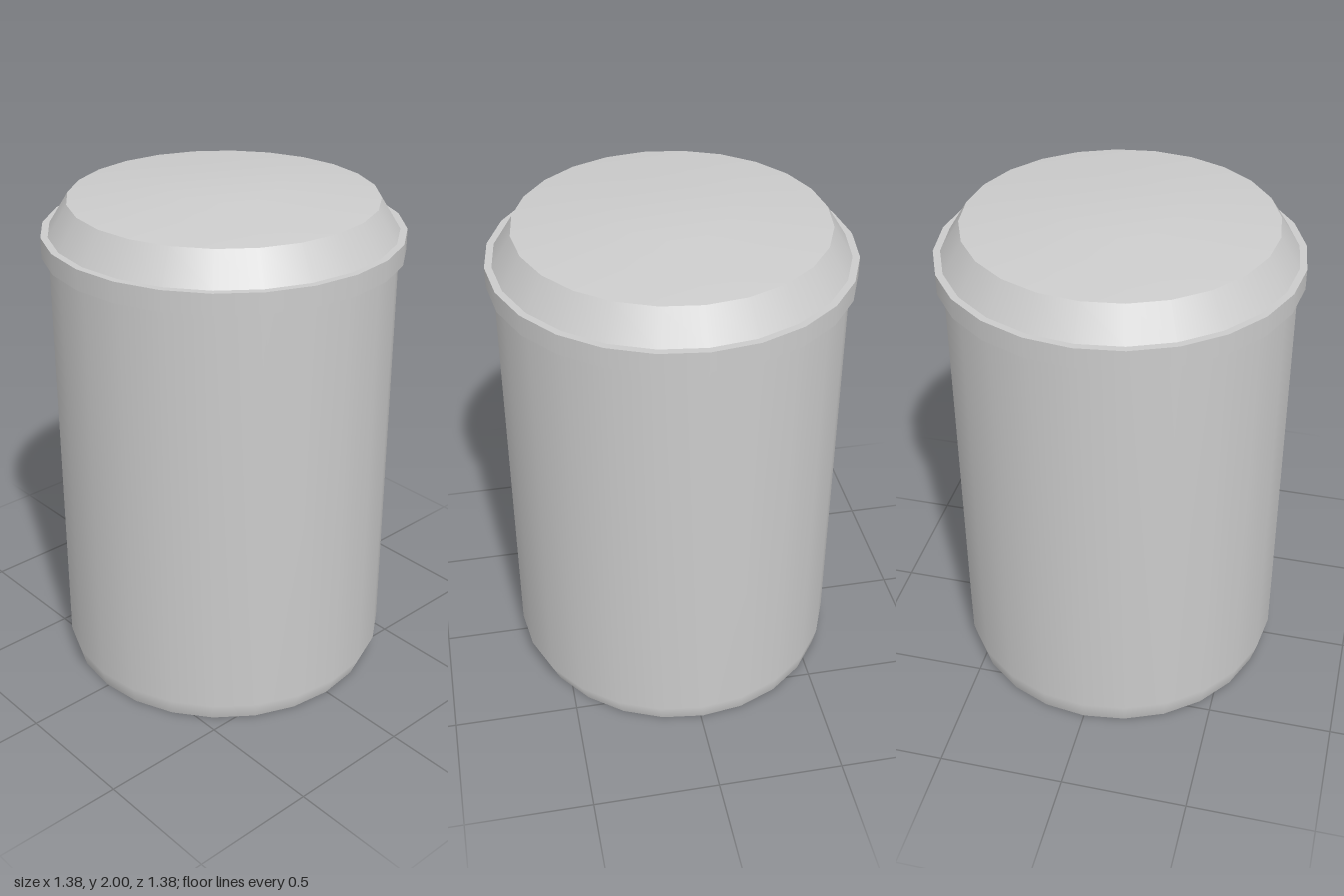
import * as THREE from 'three';

const SIDES = 24;
const material = new THREE.MeshStandardMaterial({ color: 0xcccccc });

// Smooth revolved surface; separate surfaces meet in sharp edges.
function revolve(name, profile) {
  const points = profile.map(([r, y]) => new THREE.Vector2(r, y));
  const mesh = new THREE.Mesh(new THREE.LatheGeometry(points, SIDES), material);
  mesh.name = name;
  return mesh;
}

// The foot ring of the canister sits slightly off-centre.
function shiftFoot(mesh) {
  const p = mesh.geometry.attributes.position;
  for (let i = 0; i < p.count; i++) {
    if (p.getY(i) < 0.01) p.setX(i, p.getX(i) - 0.01);
  }
  return mesh;
}

export function createModel() {
  const model = new THREE.Group();
  model.name = 'canister';

  // Body: flat base and a tall wall tapering in at the foot
  const body = new THREE.Group();
  body.name = 'body';
  body.add(
    shiftFoot(revolve('base', [[0, 0], [0.64, 0]])),
    shiftFoot(revolve('wall', [[0.64, 0], [0.665, 0.08], [0.665, 1.76]])),
  );

  // Rim: square-edged band around the top of the body
  const rim = new THREE.Group();
  rim.name = 'rim';
  rim.add(
    revolve('rimUnderside', [[0.665, 1.76], [0.692, 1.76]]),
    revolve('rimBand', [[0.692, 1.76], [0.692, 1.84]]),
    revolve('rimTop', [[0.692, 1.84], [0.665, 1.84]]),
  );

  // Lid: sloped shoulder and a shallow crowned top
  const lid = new THREE.Group();
  lid.name = 'lid';
  lid.add(
    revolve('lidShoulder', [[0.665, 1.84], [0.59, 1.96]]),
    revolve('lidTop', [[0.59, 1.96], [0.22, 2], [0, 2]]),
  );

  model.add(body, rim, lid);
  return model;
}
